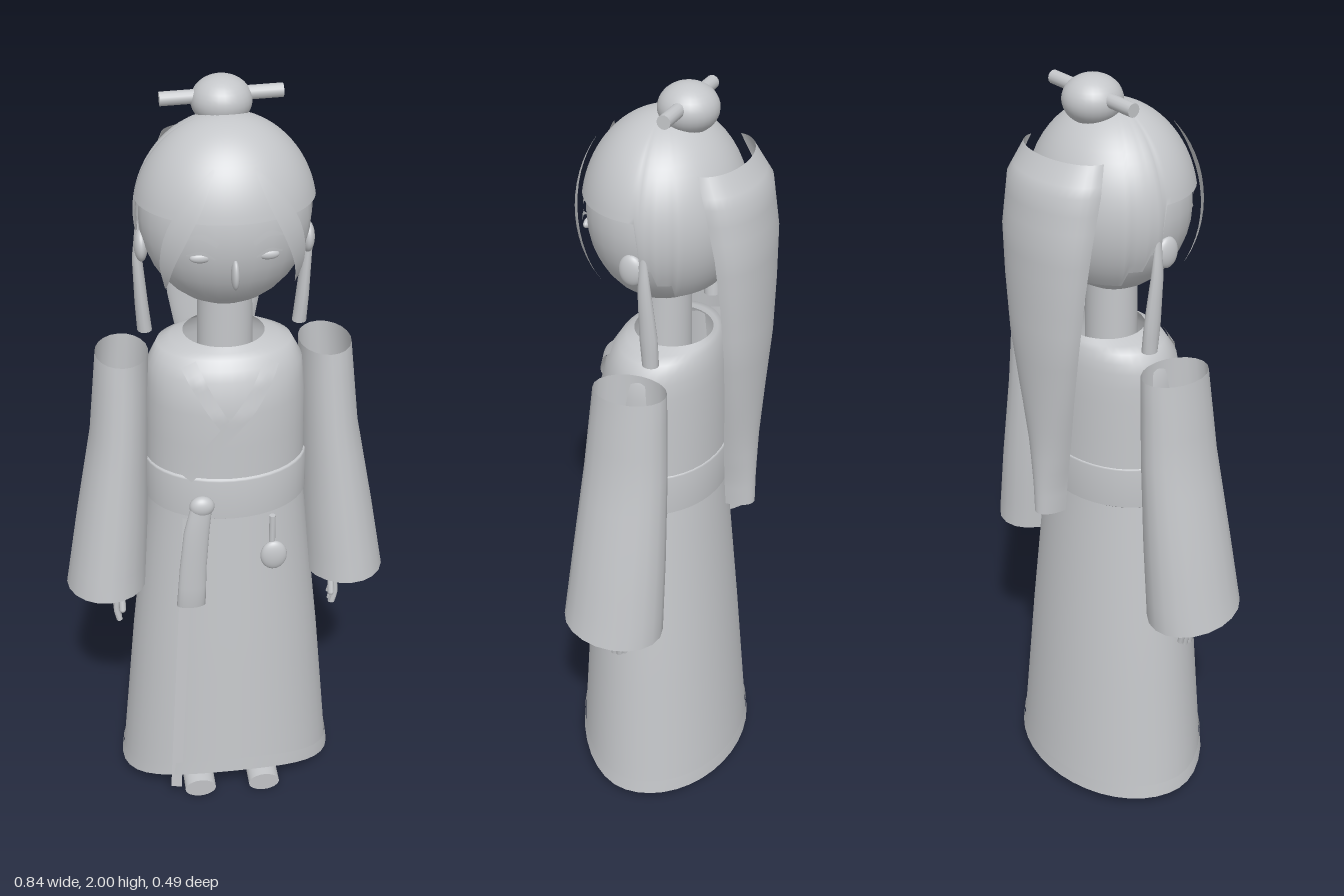
import * as THREE from 'three';

const clay = new THREE.MeshStandardMaterial({ color: 0xc4c6c9, side: THREE.DoubleSide });
clay.name = 'light grey';
const { lerp } = THREE.MathUtils;

// Smooth grid surface; fn(u, v) gives a point, rows run downwards, columns may wrap
function grid(rows, cols, fn, closed = false) {
  const pos = [], idx = [], n = closed ? cols : cols + 1;
  for (let j = 0; j <= rows; j++)
    for (let i = 0; i < n; i++) pos.push(...fn(i / cols, j / rows));
  for (let j = 0; j < rows; j++)
    for (let i = 0; i < cols; i++) {
      const a = j * n + i, b = j * n + (i + 1) % n;
      idx.push(a, a + n, b, b, a + n, b + n);
    }
  const g = new THREE.BufferGeometry();
  g.setAttribute('position', new THREE.Float32BufferAttribute(pos, 3));
  g.setIndex(idx);
  g.computeVertexNormals();
  return g;
}

// Interpolate a table of rows at v in 0..1
function sample(table, v) {
  const f = v * (table.length - 1), i = Math.min(Math.floor(f), table.length - 2);
  return table[i].map((a, k) => lerp(a, table[i + 1][k], f - i));
}

// Open tube through elliptical sections [cx, y, cz, rx, rz]
function loft(sections, cols = 32, shiftY = () => 0, steps = 2) {
  return grid((sections.length - 1) * steps, cols, (u, v) => {
    const [cx, y, cz, rx, rz] = sample(sections, v), a = u * Math.PI * 2;
    return [cx + rx * Math.sin(a), y + shiftY(a, v), cz + rz * Math.cos(a)];
  }, true);
}

// Ribbon along points [x, y, width], laid on a surface z = depth(x, y)
function ribbon(points, depth, steps = 14) {
  const curve = new THREE.CatmullRomCurve3(points.map(p => new THREE.Vector3(...p)));
  return grid(steps, 4, (u, v) => {
    const p = curve.getPoint(v), t = curve.getTangent(v);
    const l = Math.hypot(t.x, t.y) || 1, s = (u - 0.5) * p.z;
    const x = p.x - t.y / l * s, y = p.y + t.x / l * s;
    return [x, y, depth(x, y)];
  });
}

const HEAD = { y: 1.7, z: 0.02 };
const headZ = grow => (x, y) => HEAD.z + (0.18 + grow) *
  Math.sqrt(Math.max(0, 1 - (x / (0.2 + grow)) ** 2 - ((y - HEAD.y) / (0.22 + grow)) ** 2));

const TORSO = [[0, 1.385, 0, 0.1, 0.095], [0, 1.365, 0.008, 0.165, 0.118], [0, 1.32, 0.017, 0.19, 0.138],
  [0, 1.24, 0.024, 0.197, 0.15], [0, 1.06, 0.024, 0.2, 0.153]];
function torsoZ(x, y) {
  let i = 0;
  while (i < TORSO.length - 2 && y < TORSO[i + 1][1]) i++;
  const f = (y - TORSO[i][1]) / (TORSO[i + 1][1] - TORSO[i][1]);
  const [, , cz, rx, rz] = TORSO[i].map((a, k) => lerp(a, TORSO[i + 1][k], f));
  return cz + rz * Math.sqrt(Math.max(0, 1 - (x / rx) ** 2)) + 0.006;
}

export function createModel() {
  const model = new THREE.Group();
  const add = (name, geometry, x = 0, y = 0, z = 0, parent = model) => {
    const m = new THREE.Mesh(geometry, clay);
    m.name = name;
    m.position.set(x, y, z);
    parent.add(m);
    return m;
  };
  const ball = (name, x, y, z, rx, ry, rz, parent = model) => {
    const m = add(name, new THREE.SphereGeometry(1, 28, 18), x, y, z, parent);
    m.scale.set(rx, ry, rz);
    return m;
  };

  // Head and neck
  ball('head', 0, HEAD.y, HEAD.z, 0.2, 0.22, 0.18);
  add('neck', loft([[0, 1.54, 0.02, 0.065, 0.06], [0, 1.3, 0.02, 0.068, 0.062]]));
  ball('nose', 0, 1.62, 0.195, 0.01, 0.036, 0.02);
  add('mouth', ribbon([[-0.026, 1.527, 0.003], [0, 1.523, 0.014], [0.026, 1.527, 0.003]], headZ(0.004)));

  // Hair cap with a straight fringe line, stepping down behind the ears
  add('hairCap', grid(20, 96, (u, v) => {
    const a = u * Math.PI * 2, back = -Math.cos(a);
    const edge = back < 0.08 ? 1.745 : back < 0.3 ? 1.63 : back < 0.55 ? 1.585 : 1.54;
    const th = v * Math.acos((edge - HEAD.y) / 0.232), s = Math.sin(th);
    return [0.212 * s * Math.sin(a), HEAD.y + 0.232 * Math.cos(th), HEAD.z + 0.19 * s * Math.cos(a)];
  }, true));

  // Bun with a pin through it
  ball('bun', 0, 1.943, -0.035, 0.07, 0.057, 0.07);
  const pin = add('hairPin', new THREE.CylinderGeometry(0.016, 0.016, 0.28, 14), 0, 1.955, -0.035);
  pin.rotation.z = -Math.PI / 2 + 0.03;

  // Long tail of hair: curved shell, rows are [y, half width, edge z, middle z]
  const TAIL = [[1.845, 0.13, -0.11, -0.18], [1.78, 0.15, -0.135, -0.225], [1.66, 0.148, -0.16, -0.242],
    [1.54, 0.135, -0.17, -0.243], [1.4, 0.118, -0.175, -0.241], [1.26, 0.092, -0.17, -0.232],
    [1.12, 0.064, -0.16, -0.224], [1.0, 0.043, -0.156, -0.222], [0.92, 0.036, -0.158, -0.222]];
  add('hairTail', grid(24, 20, (u, v) => {
    const [y, w, edge, mid] = sample(TAIL, v), a = u * Math.PI;
    return [w * Math.cos(a), y, edge + (mid - edge) * Math.sin(a)];
  }));

  // Robe: torso, belt, skirt with a hem that rises at the front
  add('robeTop', loft(TORSO, 40));
  add('belt', loft([[0, 1.065, 0.026, 0.198, 0.152], [0, 1.06, 0.026, 0.205, 0.16],
    [0, 0.955, 0.028, 0.206, 0.162], [0, 0.95, 0.028, 0.2, 0.155]], 40));
  const rise = a => 0.1 * Math.max(0, Math.cos(a)) ** 2;
  add('skirt', loft([[0, 0.955, 0.03, 0.2, 0.157], [0, 0.5, 0.026, 0.25, 0.19], [0, 0.05, 0.022, 0.292, 0.22]],
    40, (a, v) => rise(a) * v, 5));
  add('hemBand', loft([[0, 0.09, 0.022, 0.291, 0.221], [0, 0.048, 0.022, 0.296, 0.224]], 40, rise));

  // Crossed collar
  add('collarUnder', ribbon([[-0.1, 1.355, 0.04], [-0.06, 1.28, 0.035], [-0.01, 1.2, 0.03]], torsoZ));
  add('collarOver', ribbon([[0.1, 1.355, 0.04], [0.045, 1.27, 0.04], [-0.03, 1.18, 0.036], [-0.115, 1.065, 0.034]],
    (x, y) => torsoZ(x, y) + 0.003));

  // Sash tail with knot, long ribbon and pendant at the belt
  add('sashTail', loft([[-0.08, 1.01, 0.195, 0.026, 0.012], [-0.094, 0.93, 0.196, 0.032, 0.016],
    [-0.104, 0.82, 0.196, 0.034, 0.016], [-0.11, 0.7, 0.194, 0.037, 0.016], [-0.11, 0.699, 0.194, 0.001, 0.001]], 20));
  ball('sashKnot', -0.08, 1.0, 0.192, 0.031, 0.028, 0.02);
  add('longRibbon', grid(8, 1, (u, v) => [lerp(-0.125, -0.175, v) + u * 0.028,
    lerp(0.95, 0.075, v), lerp(0.165, 0.207, v) + u * 0.008]));
  add('pendantCord', new THREE.CylinderGeometry(0.008, 0.008, 0.09, 10), 0.098, 0.905, 0.183);
  ball('pendant', 0.102, 0.832, 0.188, 0.034, 0.042, 0.016);

  // Mirrored parts, built on the +x side
  for (const [side, sx] of [['left', 1], ['right', -1]]) {
    const half = new THREE.Group();
    half.name = side + 'Side';
    half.scale.x = sx;
    model.add(half);
    const part = (name, g, x, y, z) => add(name, g, x, y, z, half);

    // Face details
    part('brow', ribbon([[0.04, 1.697, 0.012], [0.075, 1.715, 0.014], [0.115, 1.703, 0.003]], headZ(0.006)));
    ball('eye', 0.076, 1.66, headZ(0)(0.076, 1.66) - 0.003, 0.025, 0.012, 0.01, half);
    part('eyelid', ribbon([[0.046, 1.664, 0.004], [0.076, 1.677, 0.009], [0.108, 1.667, 0.004]], headZ(0.009)));
    ball('ear', 0.196, 1.625, 0.02, 0.016, 0.038, 0.03, half);

    // Parted fringe lock and the lock hanging by the ear
    part('fringeLock', ribbon([[0.045, 1.86, 0.004], [0.085, 1.8, 0.035], [0.128, 1.72, 0.045],
      [0.15, 1.64, 0.03], [0.15, 1.56, 0.002]], headZ(0.025)));
    part('sideLock', loft([[0.2, 1.67, -0.01, 0.005, 0.008], [0.203, 1.58, -0.014, 0.012, 0.016],
      [0.196, 1.46, -0.02, 0.016, 0.022], [0.19, 1.385, -0.022, 0.018, 0.02]], 12));

    // Wide open sleeve
    part('sleeve', loft([[0.25, 1.345, 0.005, 0.065, 0.09], [0.265, 1.13, 0.012, 0.073, 0.104],
      [0.292, 0.89, 0.022, 0.092, 0.118], [0.315, 0.685, 0.032, 0.105, 0.128]], 20,
      (a, v) => v * 0.012 * Math.cos(a), 3));

    // Hand with fingers and thumb
    ball('palm', 0.288, 0.66, 0.037, 0.014, 0.05, 0.034, half);
    for (let i = 0; i < 4; i++) {
      const z = 0.016 + i * 0.015, tip = 0.552 + (i === 0 || i === 3 ? 0.012 : 0);
      part('finger', new THREE.TubeGeometry(new THREE.CatmullRomCurve3([
        new THREE.Vector3(0.289, 0.645, z), new THREE.Vector3(0.295, 0.6, z),
        new THREE.Vector3(0.288, tip, z)]), 8, 0.008, 8));
    }
    const thumb = part('thumb', new THREE.CapsuleGeometry(0.009, 0.05, 4, 8), 0.28, 0.635, 0.073);
    thumb.rotation.x = -0.3;

    // Leg and shoe
    part('leg', new THREE.CylinderGeometry(0.056, 0.056, 0.5, 20), 0.088, 0.33, 0.0);
    const shoe = part('shoe', new THREE.CylinderGeometry(0.043, 0.043, 0.2, 24), 0.09, 0.038, 0.085);
    shoe.rotation.x = Math.PI / 2 + 0.06;
    shoe.scale.z = 0.72;
  }
  return model;
}
